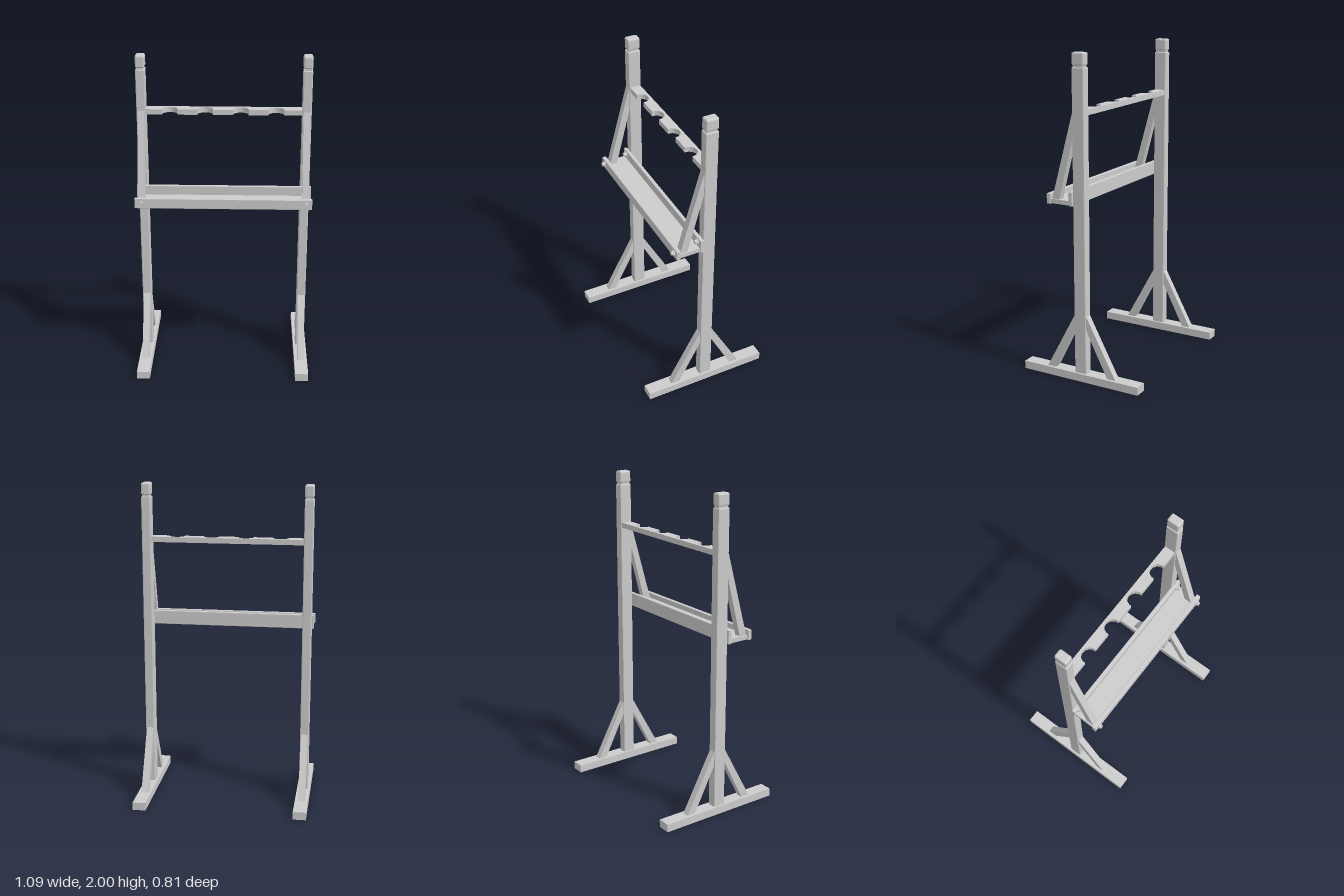
import * as THREE from 'three';
import { RoundedBoxGeometry } from 'three/addons/geometries/RoundedBoxGeometry.js';

const material = new THREE.MeshStandardMaterial({ color: 0xcccccc, flatShading: true });
const openMaterial = new THREE.MeshStandardMaterial({ color: 0xcccccc, flatShading: true, side: THREE.DoubleSide });

function add(parent, name, geometry, mat = material) {
  const mesh = new THREE.Mesh(geometry, mat);
  mesh.name = name;
  parent.add(mesh);
  return mesh;
}

// Box given by its lower and upper limits, with an optional chamfer
function block(x0, x1, y0, y1, z0, z1, chamfer = 0) {
  const size = [x1 - x0, y1 - y0, z1 - z0];
  const g = chamfer ? new RoundedBoxGeometry(...size, 1, chamfer) : new THREE.BoxGeometry(...size);
  return g.translate((x0 + x1) / 2, (y0 + y1) / 2, (z0 + z1) / 2);
}

// Flat bar whose side outline is given as [z, y] points, centred on x
function bar(points, x, width) {
  const shape = new THREE.Shape(points.map(([z, y]) => new THREE.Vector2(-z, y)));
  const g = new THREE.ExtrudeGeometry(shape, { depth: width, bevelEnabled: false });
  return g.translate(0, 0, -width / 2).rotateY(Math.PI / 2).translate(x, 0, 0);
}

// Round bolt head on a washer, facing +z
function bolt(parent, name, x, y, z) {
  const group = new THREE.Group();
  group.name = name;
  group.position.set(x, y, z);
  const parts = [['washer', 0.018, 0.008, 0.004], ['head', 0.013, 0.014, 0.013]];
  for (const [part, radius, height, offset] of parts) {
    add(group, part, new THREE.CylinderGeometry(radius, radius, height, 12)
      .rotateX(Math.PI / 2).translate(0, 0, offset));
  }
  parent.add(group);
}

function createUpright(side) {
  const group = new THREE.Group();
  group.name = side > 0 ? 'leftUpright' : 'rightUpright';
  const x = side * 0.502;

  // Foot, hollow and open underneath
  const foot = block(x - 0.041, x + 0.041, 0, 0.05, -0.405, 0.405);
  const index = Array.from(foot.index.array);
  index.splice(18, 6);
  foot.setIndex(index);
  foot.clearGroups();
  add(group, 'foot', foot, openMaterial);

  // Post with a separate cap on a narrow neck
  add(group, 'post', block(x - 0.028, x + 0.028, 0.03, 1.915, -0.04, 0.04, 0.005));
  add(group, 'neck', block(x - 0.021, x + 0.021, 1.9, 1.935, -0.033, 0.033));
  add(group, 'cap', block(x - 0.028, x + 0.028, 1.925, 2, -0.04, 0.04, 0.009));

  // Diagonal braces between foot and post
  for (const s of [1, -1]) {
    const outline = [[0.035, 0.43], [0.035, 0.34], [0.19, 0.04], [0.247, 0.04]].map(([z, y]) => [z * s, y]);
    add(group, s > 0 ? 'frontBrace' : 'backBrace', bar(outline, x, 0.043));
  }

  // Slanted stay holding the tray
  add(group, 'trayStay', bar([[0.036, 1.675], [0.036, 1.52], [0.142, 1.12], [0.191, 1.12]], x, 0.043));

  bolt(group, 'frontBolt', x, 1.13, 0.217);
  bolt(group, 'backBolt', x, 1.16, 0.063);
  return group;
}

// Rail with four half-round notches along its front edge
function createRail() {
  const front = 0.033, radius = 0.048, centre = 0.028;
  const shape = new THREE.Shape();
  shape.moveTo(-0.48, -0.035);
  shape.lineTo(-0.48, front);
  for (let i = 0; i < 4; i++) {
    const x = -0.328 + i * 0.215;
    shape.lineTo(x - radius, front);
    shape.lineTo(x - radius, centre);
    shape.absarc(x, centre, radius, Math.PI, Math.PI * 2, false);
    shape.lineTo(x + radius, front);
  }
  shape.lineTo(0.48, front);
  shape.lineTo(0.48, -0.035);
  const g = new THREE.ExtrudeGeometry(shape, { depth: 0.033, bevelEnabled: false, curveSegments: 16 });
  return g.rotateX(Math.PI / 2).translate(0, 1.67, 0);
}

export function createModel() {
  const model = new THREE.Group();
  model.name = 'rack';
  for (const side of [1, -1]) model.add(createUpright(side));

  add(model, 'notchedRail', createRail());

  // Tray: base, front lip and taller back board
  const tray = new THREE.Group();
  tray.name = 'tray';
  add(tray, 'base', block(-0.532, 0.532, 1.1, 1.127, 0.06, 0.197));
  add(tray, 'frontLip', block(-0.541, 0.541, 1.096, 1.16, 0.192, 0.218, 0.003));
  add(tray, 'backBoard', block(-0.541, 0.541, 1.098, 1.185, 0.04, 0.063, 0.003));
  model.add(tray);
  return model;
}
